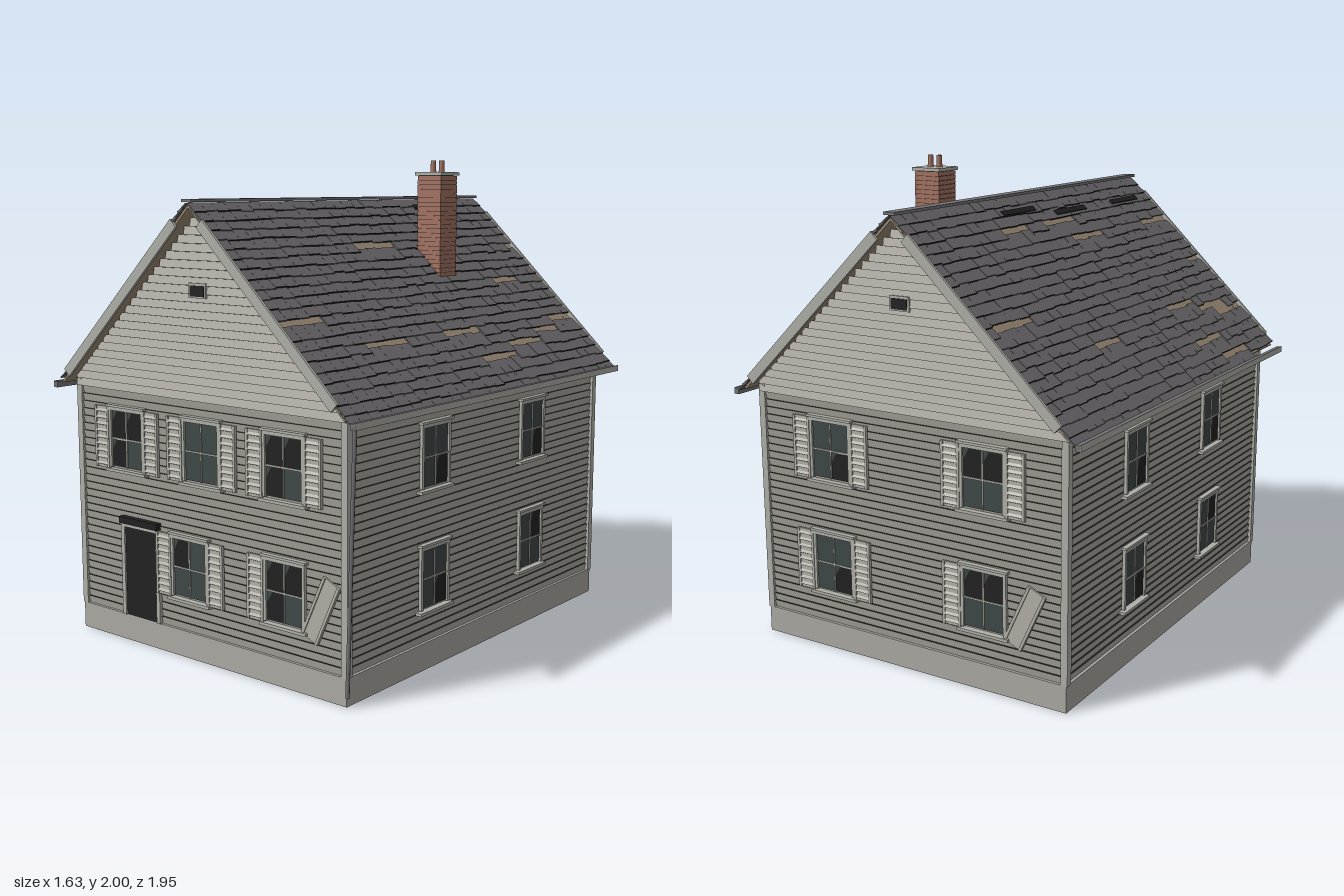
import * as THREE from 'three';
import { mergeGeometries } from 'three/addons/utils/BufferGeometryUtils.js';

const paint = (name, color) => {
  const m = new THREE.MeshStandardMaterial({ color });
  m.name = name;
  return m;
};
const M = {
  wall: paint('weatheredSiding', 0xb2b0a7),
  trim: paint('paleTrim', 0xb0b0a9),
  stone: paint('foundationStone', 0xacaaa3),
  dark: paint('darkVoid', 0x222222),
  glass: paint('dustyGlass', 0x3f4848),
  shingle: paint('slateShingle', 0x676567),
  wood: paint('bareWood', 0x9c8a76),
  brick: paint('brick', 0xa47362),
  metal: paint('gutterMetal', 0x77777a),
};

function add(parent, name, geo, mat, x = 0, y = 0, z = 0) {
  const m = new THREE.Mesh(geo, mat);
  m.name = name;
  m.position.set(x, y, z);
  parent.add(m);
  return m;
}
const box = (parent, name, mat, w, h, d, x, y, z) =>
  add(parent, name, new THREE.BoxGeometry(w, h, d), mat, x, y, z);
function group(parent, name, x = 0, y = 0, z = 0) {
  const g = new THREE.Group();
  g.name = name;
  g.position.set(x, y, z);
  parent.add(g);
  return g;
}

// Louvred shutter, centred on its own origin
function shutter(parent, x, y, tilt = 0) {
  const g = group(parent, 'shutter', x, y, 0.006);
  g.rotation.z = tilt;
  box(g, 'shutterPanel', M.wall, 0.085, 0.26, 0.008, 0, 0, 0);
  for (const s of [-1, 1]) box(g, 'shutterStile', M.wall, 0.012, 0.26, 0.006, s * 0.0365, 0, 0.006);
  if (tilt) return;
  for (let i = 0; i < 9; i++) {
    box(g, 'shutterSlat', M.wall, 0.062, 0.012, 0.004, 0, -0.112 + i * 0.028, 0.006).rotation.x = -0.5;
  }
}

// Four-pane window; broken lists [column, row] of panes with a hole
function sashWindow(parent, x, y, w, broken) {
  const g = group(parent, 'window', x, y, 0);
  const h = 0.235;
  box(g, 'glass', M.glass, w, h, 0.004, 0, 0, 0.002);
  for (const [i, j] of broken) {
    const a = w / 2 - 0.006, b = h / 2 - 0.006;
    const s = new THREE.Shape([[0, 0], [a, 0], [a, b], [a * 0.3, b], [0, b * 0.6]].map(p => new THREE.Vector2(...p)));
    add(g, 'brokenPane', new THREE.ShapeGeometry(s), M.dark, i ? 0.003 : -a - 0.003, j ? 0.003 : -b - 0.003, 0.0055);
  }
  box(g, 'mullion', M.trim, 0.006, h, 0.004, 0, 0, 0.007);
  box(g, 'meetingRail', M.trim, w, 0.007, 0.004, 0, 0, 0.007);
  for (const s of [-1, 1]) box(g, 'windowJamb', M.trim, 0.014, h + 0.01, 0.014, s * (w / 2 + 0.007), 0, 0.005);
  box(g, 'windowHead', M.trim, w + 0.03, 0.016, 0.016, 0, h / 2 + 0.008, 0.006);
  box(g, 'windowCap', M.trim, w + 0.045, 0.01, 0.024, 0, h / 2 + 0.02, 0.008);
  box(g, 'windowSill', M.trim, w + 0.055, 0.012, 0.028, 0, -h / 2 - 0.016, 0.008);
  box(g, 'sillShadow', M.dark, w + 0.02, 0.004, 0.01, 0, -h / 2 - 0.024, 0.003);
}

// Roof slope: local x runs down from the ridge, local y is its normal
const RISE = 0.775, RUN = 0.8, D = Math.hypot(RISE, RUN), ROWS = 22, P = D / ROWS;
function roofSlope(house, side, missing, felt, rnd) {
  const turn = group(house, side > 0 ? 'rightRoof' : 'leftRoof', 0, 1.825, 0);
  turn.rotation.y = side > 0 ? 0 : Math.PI;
  const g = group(turn, 'slope');
  g.rotation.z = -Math.atan2(RISE, RUN);
  const rowOf = x => Math.round((D - x * D / RUN) / P - 0.75);
  box(g, 'sheathing', M.wood, D - 0.05, 0.01, 1.92, (D - 0.04) / 2, -0.005, 0);
  const tabs = [], butts = [], L = P * 1.5, step = 1.94 / 30;
  for (let i = 0; i < ROWS; i++) {
    for (let j = 0; j < 30; j++) {
      const z = -0.97 + (j + 0.5) * step;
      const shift = (rnd() - 0.5) * 0.009, edge = rnd();
      if (missing.some(([x, a, b]) => rowOf(x) === i && z > a && z < b)) continue;
      const low = D - i * P + shift;
      const len = Math.min(L, low);
      const place = geo => geo.rotateZ(-0.008 / L * -1).translate(low - len / 2, 0.007, side * z);
      tabs.push(place(new THREE.BoxGeometry(len, 0.005, step - 0.0008)));
      if (edge < 0.6) butts.push(place(new THREE.BoxGeometry(0.002, 0.0065, step).translate(len / 2, 0.0005, 0)));
    }
  }
  add(g, 'shingles', mergeGeometries(tabs), M.shingle);
  add(g, 'shingleButts', mergeGeometries(butts), M.dark);
  for (const [x, a, b] of felt) {
    box(g, 'exposedFelt', M.dark, 0.024, 0.006, b - a, x * D / RUN, 0.014, side * (a + b) / 2);
  }
  // Rake boards on both gable ends
  for (const s of [-1, 1]) box(g, 'rakeBoard', M.trim, 0.91, 0.042, 0.012, 0.555, -0.003, s * 0.969);
}

export function createModel() {
  const house = new THREE.Group();
  house.name = 'house';
  let seed = 7;
  const rnd = () => (seed = (seed * 16807) % 2147483647) / 2147483647;

  box(house, 'foundation', M.stone, 1.46, 0.11, 1.82, 0, 0.055, 0);

  // Wall siding: each course flares a little toward its dark upper ledge
  const rows = 30, rh = 0.95 / rows;
  for (let i = 0; i < rows; i++) {
    const geo = new THREE.BoxGeometry(1.436, rh, 1.796);
    const p = geo.attributes.position;
    for (let k = 0; k < p.count; k++) {
      if (p.getY(k) > 0) p.setXYZ(k, p.getX(k) + Math.sign(p.getX(k)) * 0.008, p.getY(k), p.getZ(k) + Math.sign(p.getZ(k)) * 0.008);
    }
    geo.computeVertexNormals();
    add(house, 'sidingCourse', geo, [M.wall, M.wall, M.dark, M.wall, M.wall, M.wall], 0, 0.11 + (i + 0.5) * rh, 0);
  }
  for (const sx of [-1, 1]) {
    for (const sz of [-1, 1]) box(house, 'cornerBoard', M.trim, 0.03, 0.98, 0.03, sx * 0.72, 0.6, sz * 0.897);
    box(house, 'frieze', M.trim, 0.012, 0.04, 1.8, sx * 0.727, 1.06, 0);
  }

  // Stepped gable siding on both ends, with an attic vent
  for (const s of [-1, 1]) {
    for (let i = 0; i < 22; i++) {
      const top = 1.06 + (i + 1) * 0.0323;
      const half = Math.min(0.73, 0.735 - (top - 1.12) * 1.07);
      box(house, 'gableBoard', M.wall, 2 * half, 0.0335, 0.016, 0, top - 0.016, s * 0.905).rotation.x = -s * 0.2;
    }
    box(house, 'ventFrame', M.trim, 0.092, 0.058, 0.012, 0, 1.495, s * 0.914);
    box(house, 'ventOpening', M.dark, 0.075, 0.042, 0.008, 0, 1.493, s * 0.918);
  }

  // Wall faces carrying windows, door and shutters
  const face = (name, x, z, turn) => {
    const g = group(house, name, x, 0, z);
    g.rotation.y = turn;
    return g;
  };
  const LO = 0.373, HI = 0.858;
  const front = face('frontFace', 0, 0.906, 0);
  const back = face('backFace', 0, -0.906, Math.PI);
  for (const [x, y, broken] of [
    [-0.43, HI, [[0, 1], [1, 1], [0, 0]]], [0, HI, []], [0.43, HI, [[0, 1], [1, 1], [0, 0]]],
    [-0.075, LO, [[0, 1]]], [0.43, LO, [[0, 1], [1, 1], [0, 0]]],
  ]) {
    sashWindow(front, x, y, 0.18, broken);
    shutter(front, x - 0.145, y);
    if (x < 0.4 || y > 0.5) shutter(front, x + 0.145, y);
  }
  for (const x of [-0.365, 0.365]) for (const y of [LO, HI]) {
    sashWindow(back, x, y, 0.18, x > 0 ? [[0, 1], [1, 1]] : [[1, 0]]);
    shutter(back, x - 0.145, y);
    if (x < 0 || y > 0.5) shutter(back, x + 0.145, y);
  }
  shutter(front, 0.61, 0.343, -0.43);
  shutter(back, 0.55, 0.343, -0.43);
  for (const s of [-1, 1]) {
    const g = face(s > 0 ? 'rightFace' : 'leftFace', s * 0.726, 0, s * Math.PI / 2);
    for (const x of [-0.36, 0.36]) for (const y of [LO, HI]) {
      sashWindow(g, x, y, 0.165, [[1, x > 0 && y < 0.5 ? 1 : 0]]);
    }
  }

  // Doorway
  box(front, 'doorway', M.dark, 0.185, 0.38, 0.008, -0.3625, 0.3, 0);
  for (const x of [-0.465, -0.26]) box(front, 'doorJamb', M.trim, 0.02, 0.39, 0.016, x, 0.305, 0.003);
  box(front, 'doorHead', M.trim, 0.22, 0.016, 0.016, -0.3625, 0.498, 0.003);
  box(front, 'doorHeader', M.dark, 0.225, 0.028, 0.028, -0.3625, 0.52, 0.008);

  // Roof with missing shingles as [x, z from, z to]
  roofSlope(house, 1, [
    [0.58, -0.8, -0.55], [0.39, -0.8, -0.55], [0.54, -0.97, -0.8], [0.63, -0.55, -0.3], [0.68, -0.3, -0.04],
    [0.56, -0.17, 0.09], [0.2, -0.04, 0.21], [0.56, 0.34, 0.59], [0.44, 0.72, 0.98], [0.22, -0.98, -0.92],
  ], [[0.04, -0.67, -0.42]], rnd);
  roofSlope(house, -1, [
    [0.42, -0.92, -0.67], [0.56, -0.42, -0.17], [0.13, -0.42, -0.17], [0.11, -0.04, 0.21], [0.18, 0.08, 0.34],
    [0.66, 0.34, 0.59], [0.52, 0.34, 0.59], [0.57, 0.59, 0.84], [0.595, 0.72, 0.98], [0.2, 0.72, 0.98],
    [0.38, 0.84, 0.98], [0.73, 0.47, 0.72], [0.78, 0.72, 0.98],
  ], [[0.06, -0.3, -0.05], [0.09, 0.08, 0.34], [0.09, 0.59, 0.84]], rnd);
  box(house, 'ridgeCap', M.metal, 0.05, 0.012, 1.94, 0, 1.838, 0);

  // Gutters and the leaning downspout
  for (const s of [-1, 1]) {
    box(house, 'gutter', M.metal, 0.02, 0.024, 1.94, s * 0.803, 1.062, 0);
    box(house, 'gutterLip', M.trim, 0.004, 0.026, 1.94, s * 0.814, 1.064, 0);
  }
  const spout = new THREE.LineCurve3(new THREE.Vector3(0.802, 1.055, 0.953), new THREE.Vector3(0.74, 0.04, 0.918));
  add(house, 'downspout', new THREE.TubeGeometry(spout, 1, 0.008, 8), M.metal);

  // Chimney: brick courses over a recessed core, stone cap, two pots
  const chimney = group(house, 'chimney', 0.285, 0, -0.268);
  box(chimney, 'chimneyCore', M.dark, 0.115, 0.49, 0.115, 0, 1.69, 0);
  for (let i = 0; i < 26; i++) box(chimney, 'brickCourse', M.brick, 0.122, 0.0172, 0.122, 0, 1.455 + i * 0.0188, 0);
  box(chimney, 'chimneyCap', M.trim, 0.138, 0.014, 0.138, 0, 1.943, 0);
  for (const x of [-0.022, 0.022]) {
    add(chimney, 'chimneyPot', new THREE.CylinderGeometry(0.011, 0.013, 0.052, 12), M.brick, x, 1.974, 0);
  }
  return house;
}
